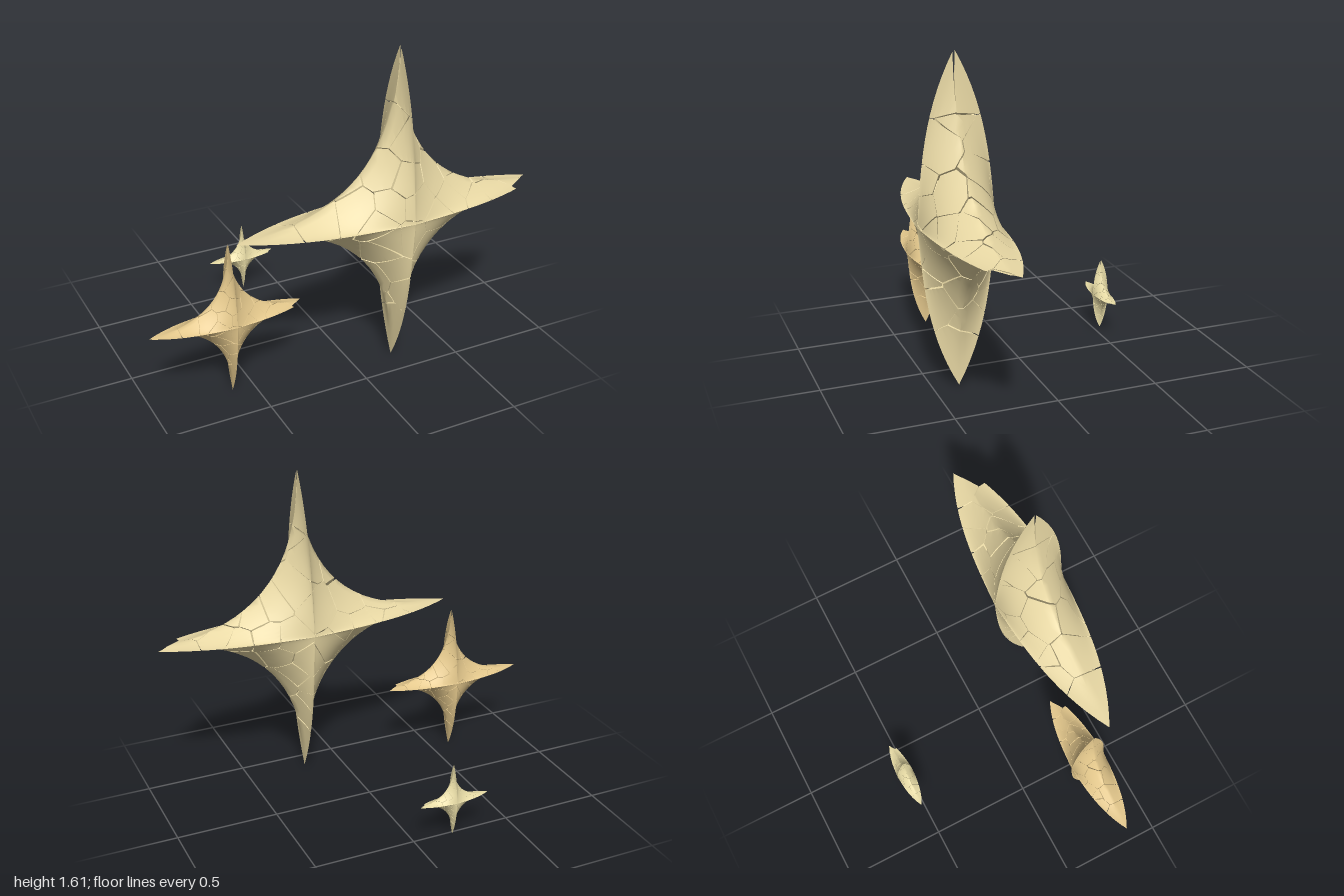
import * as THREE from 'three';
import { mergeVertices, mergeGeometries } from 'three/addons/utils/BufferGeometryUtils.js';

const R = 0.8, DEPTH = 0.185, U = 20, V = 28;
const V3 = (x, y, z) => new THREE.Vector3(x, y, z);

// small seeded generator
let state = 11;
const rand = () => {
  state = (state * 1664525 + 1013904223) % 4294967296;
  return state / 4294967296;
};

// point on one quadrant: astroid-like sections whose radius follows a lens along z
function starPoint(u, v, sx, sy) {
  const t = 1 - Math.abs(v);
  const z = Math.sign(v) * DEPTH * (1 - 0.3 * t - 0.7 * t ** 3);
  return V3(sx * R * t * u * u, sy * R * t * (1 - u) ** 2, z);
}

// centres of the shards: chosen ones at the four tips, scattered ones in the body
function shardCentres() {
  const seeds = [
    V3(0, 0.62, 0.063), V3(0, 0.62, -0.057), V3(0, -0.6, 0.01), V3(-0.62, 0, 0),
    V3(0.66, 0, -0.06), V3(0.5, 0, 0.09),
    V3(0.73, 0, 0.05), // the missing chip, always the last chosen one
  ];
  const chip = seeds.length - 1;
  while (seeds.length < 52) {
    const p = starPoint(rand(), (rand() * 2 - 1) * 0.85, rand() < 0.5 ? -1 : 1, rand() < 0.5 ? -1 : 1);
    if (Math.max(Math.abs(p.x), Math.abs(p.y)) < 0.46 && seeds.every(s => s.distanceTo(p) > 0.09)) seeds.push(p);
  }
  return { seeds, chip };
}

// half-spaces bounding each shard, pulled in and slightly tilted so cracks taper
function shardPlanes({ seeds, chip }) {
  return seeds.map((s, i) => i === chip ? null : seeds.flatMap((o, j) => {
    if (i === j || s.distanceTo(o) > 0.9) return [];
    const n = s.clone().sub(o).normalize();
    const mid = s.clone().add(o).multiplyScalar(0.5).addScaledVector(n, 0.0005 + 0.0045 * rand() ** 2);
    n.add(V3(rand() - 0.5, rand() - 0.5, rand() - 0.5).multiplyScalar(0.06)).normalize();
    return [new THREE.Plane().setFromNormalAndCoplanarPoint(n, mid)];
  }));
}

function clip(poly, plane) {
  const out = [];
  poly.forEach((a, i) => {
    const b = poly[(i + 1) % poly.length];
    const da = plane.distanceToPoint(a), db = plane.distanceToPoint(b);
    if (da >= 0) out.push(a);
    if (da * db < 0) out.push(a.clone().lerp(b, da / (da - db)));
  });
  return out;
}

// point below the surface, towards the middle of the arm
function inner(p) {
  const m = 0.6 * Math.min(Math.abs(p.x), Math.abs(p.y), 0.12);
  return V3(p.x - Math.sign(p.x) * m, p.y - Math.sign(p.y) * m, p.z * 0.95);
}

function soup(points) {
  return new THREE.BufferGeometry().setFromPoints(points);
}

function buildStar() {
  const shards = shardPlanes(shardCentres());
  const patches = [], walls = [];
  for (const sx of [1, -1]) for (const sy of [1, -1]) {
    const skin = [];
    const addTriangle = tri => {
      for (const planes of shards) {
        if (!planes) continue;
        let poly = tri;
        const cuts = [];
        for (const pl of planes) {
          if (!poly.some(p => pl.distanceToPoint(p) < 0)) continue;
          poly = clip(poly, pl);
          cuts.push(pl);
          if (poly.length < 3) break;
        }
        if (poly.length < 3) continue;
        for (let k = 1; k < poly.length - 1; k++) skin.push(poly[0], poly[k], poly[k + 1]);
        // side walls of the crack along every cut edge
        poly.forEach((a, k) => {
          const b = poly[(k + 1) % poly.length];
          const onCut = cuts.some(pl => Math.abs(pl.distanceToPoint(a)) < 1e-7 && Math.abs(pl.distanceToPoint(b)) < 1e-7);
          if (!onCut) return;
          const c = inner(a), d = inner(b);
          walls.push(b, a, c, b, c, d);
        });
      }
    };
    for (let i = 0; i < U; i++) for (let j = 0; j < V; j++) {
      const at = (di, dj) => starPoint((i + di) / U, ((j + dj) / V) * 2 - 1, sx, sy);
      const a = at(0, 0), b = at(1, 0), c = at(1, 1), d = at(0, 1);
      const tris = [[a, d, c], [a, c, b]];
      for (const t of tris) addTriangle(sx * sy > 0 ? t : t.reverse());
    }
    // smooth inside the quadrant, sharp along the ridges
    const g = mergeVertices(soup(skin), 1e-5);
    g.computeVertexNormals();
    patches.push(g);
  }
  const wallGeo = soup(walls);
  wallGeo.computeVertexNormals();
  return { skin: mergeGeometries(patches), walls: wallGeo };
}

export function createModel() {
  state = 11;
  const model = new THREE.Group();
  model.name = 'crackedStars';
  const { skin, walls } = buildStar();
  const stars = [
    ['largeStar', 0.2, 0.81, 0.38, 1, 0xe8d8a4],
    ['mediumStar', -0.605, 0.39, 0.297, 0.49, 0xe4c88c],
    ['smallStar', -0.19, 0.195, -0.527, 0.233, 0xe8dca6],
  ];
  for (const [name, x, y, z, size, color] of stars) {
    const star = new THREE.Group();
    star.name = name;
    const material = new THREE.MeshStandardMaterial({ color, side: THREE.DoubleSide });
    const shell = new THREE.Mesh(skin, material);
    shell.name = 'shell';
    const cracks = new THREE.Mesh(walls, material);
    cracks.name = 'crackWalls';
    star.add(shell, cracks);
    star.position.set(x, y, z);
    star.scale.setScalar(size);
    model.add(star);
  }
  return model;
}
